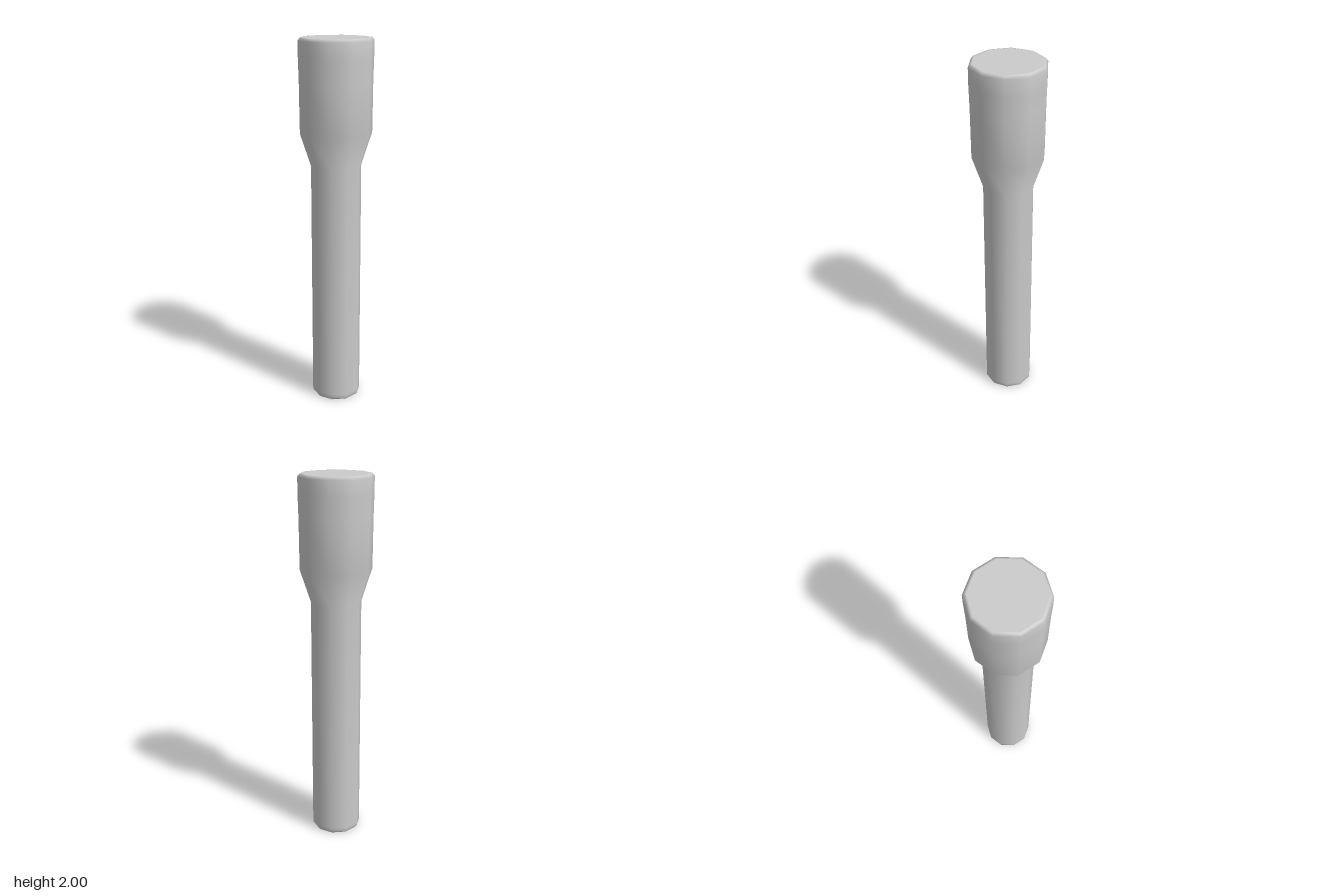
import * as THREE from 'three';

// Ten-sided solid of revolution with a corner pointing along x
function turned(name, profile, material) {
  const points = profile.map(([r, y]) => new THREE.Vector2(r, y));
  const mesh = new THREE.Mesh(new THREE.LatheGeometry(points, 10, Math.PI / 2), material);
  mesh.name = name;
  return mesh;
}

export function createModel() {
  const group = new THREE.Group();
  group.name = 'flaredHandle';
  const grey = new THREE.MeshStandardMaterial({ color: 0xcccccc });

  // Slim shaft with a bevelled foot; the extra inner ring keeps the end flat
  group.add(turned('shaft', [
    [0, 0], [0.122, 0], [0.127, 0], [0.135, 0.01], [0.135, 0.03], [0.135, 1.335],
    // Flared neck
    [0.192, 1.51],
    // Thick head, widening slightly towards its bevelled top
    [0.194, 1.78], [0.197, 1.9], [0.197, 1.985],
    [0.186, 2], [0.178, 2], [0, 2],
  ], grey));

  return group;
}
